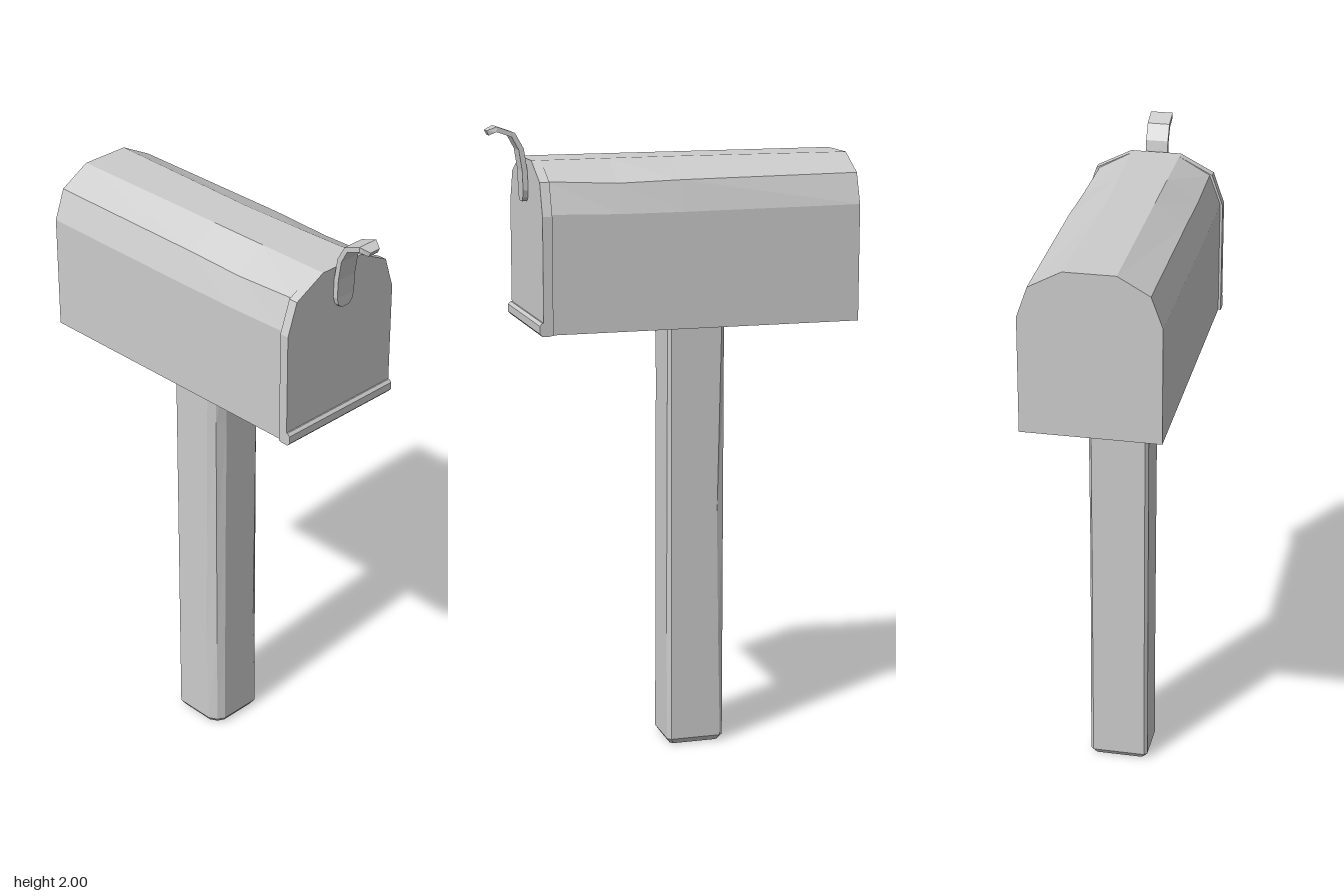
import * as THREE from 'three';

const material = new THREE.MeshStandardMaterial({ color: 0xcccccc, flatShading: true });

// Skins a list of convex rings (counter-clockwise seen from the last one) and caps both ends
function loft(name, rings) {
  const out = [];
  const n = rings[0].length;
  const tri = (a, b, c) => out.push(...a, ...b, ...c);
  for (let i = 0; i < rings.length - 1; i++) {
    for (let j = 0; j < n; j++) {
      const k = (j + 1) % n;
      tri(rings[i][j], rings[i][k], rings[i + 1][k]);
      tri(rings[i][j], rings[i + 1][k], rings[i + 1][j]);
    }
  }
  const first = rings[0];
  const last = rings[rings.length - 1];
  for (let j = 1; j < n - 1; j++) {
    tri(first[0], first[j + 1], first[j]);
    tri(last[0], last[j], last[j + 1]);
  }
  const geometry = new THREE.BufferGeometry();
  geometry.setAttribute('position', new THREE.Float32BufferAttribute(out, 3));
  geometry.computeVertexNormals();
  const mesh = new THREE.Mesh(geometry, material);
  mesh.name = name;
  return mesh;
}

// Arched outline: straight walls, two bevels each side and a flat crown
function arch(z, halfWidth, crownRight = 0.08, shoulderY = 1.845, shoulderX = halfWidth - 0.033, wallY = 1.745) {
  return [
    [-halfWidth, 1.385, z], [halfWidth, 1.385, z], [halfWidth, wallY, z],
    [shoulderX, shoulderY, z], [crownRight, 1.9, z], [-0.08, 1.9, z],
    [-halfWidth + 0.035, shoulderY, z], [-halfWidth, wallY, z],
  ];
}

// Post outline with a worn front right edge; the arguments shift single edges
function postRing(y, scale, wornX, wornZ, rightX, backZ) {
  const cz = -0.0775;
  return [
    [wornX, 0.015], [rightX, 0.015], [0.095, 0.004], [0.095, backZ], [0.085, -0.17],
    [-0.085, -0.17], [-0.095, -0.16], [-0.095, wornZ], [-0.08, 0.002],
  ].map(([x, z]) => [x * scale, y, cz + (z - cz) * scale]);
}

// Curved strip following [z, y, halfWidth] stations
function strip(path, thickness) {
  return path.map(([z, y, w], i) => {
    const a = path[Math.max(i - 1, 0)];
    const b = path[Math.min(i + 1, path.length - 1)];
    const length = Math.hypot(b[0] - a[0], b[1] - a[1]);
    const nz = ((b[1] - a[1]) / length) * thickness / 2;
    const ny = (-(b[0] - a[0]) / length) * thickness / 2;
    return [
      [-w, y + ny, z + nz], [w, y + ny, z + nz],
      [w, y - ny, z - nz], [-w, y - ny, z - nz],
    ];
  });
}

export function createModel() {
  const model = new THREE.Group();
  model.name = 'mailbox';

  // Wooden post with chamfered foot and slightly uneven edges
  model.add(loft('post', [
    postRing(0, 0.87, -0.055, -0.025, 0.085, -0.16),
    postRing(0.018, 1, -0.057, -0.025, 0.085, -0.16),
    postRing(0.35, 1, -0.055, -0.032, 0.076, -0.153),
    postRing(0.75, 1, -0.052, -0.028, 0.08, -0.147),
    postRing(1.2, 1, -0.046, -0.022, 0.085, -0.156),
    postRing(1.39, 1, -0.055, -0.02, 0.085, -0.16),
  ]));

  // Box body with gently dented crown edges
  model.add(loft('body', [
    arch(-0.57, 0.213, 0.078, 1.845, 0.18, 1.75),
    arch(0, 0.213, 0.064, 1.84, 0.187, 1.745),
    arch(0.2, 0.213, 0.07, 1.835, 0.185, 1.745),
    arch(0.415, 0.213, 0.078, 1.845, 0.178, 1.75),
  ]));

  // Front door and the rolled lip along its lower edge
  model.add(loft('door', [arch(0.412, 0.221), arch(0.442, 0.221)]));
  const lipProfile = [
    [0.418, 1.383], [0.446, 1.383], [0.454, 1.392], [0.454, 1.416], [0.446, 1.425], [0.418, 1.425],
  ];
  model.add(loft('doorLip', [0.221, -0.221].map((x) => lipProfile.map(([z, y]) => [x, y, z]))));

  // Curled pull handle with a rounded lower end and a tapered tip
  model.add(loft('handle', strip([
    [0.45, 1.77, 0.016], [0.45, 1.782, 0.028], [0.45, 1.805, 0.035], [0.452, 1.865, 0.035],
    [0.462, 1.93, 0.035], [0.486, 1.974, 0.035], [0.537, 1.992, 0.035], [0.562, 1.98, 0.019],
  ], 0.016)));

  return model;
}
